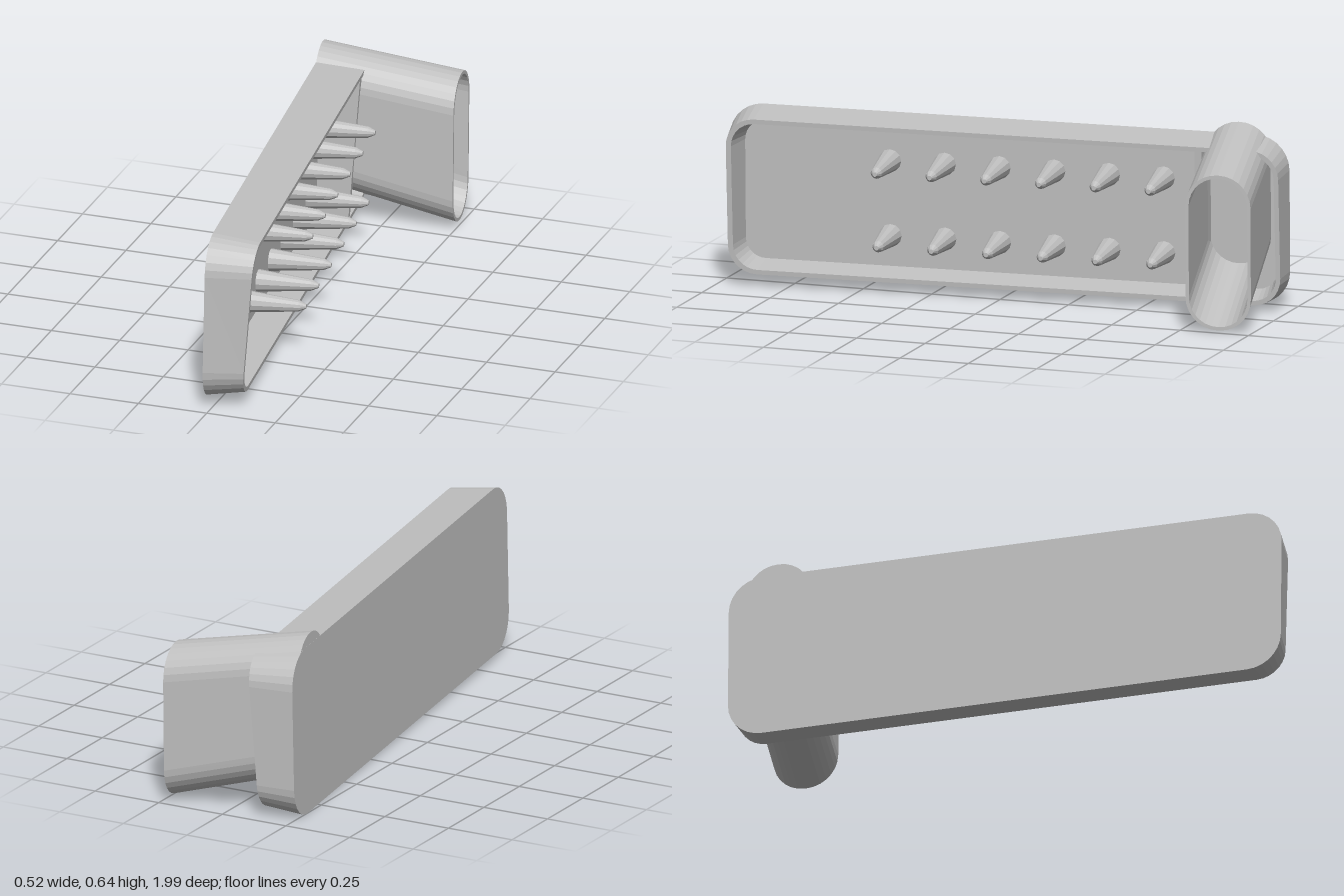
import * as THREE from 'three';

const grey = new THREE.MeshStandardMaterial({ color: 0xc0c0c0, flatShading: true });
grey.name = 'plain grey';

// Rounded rectangle outline, counter-clockwise, with z given by a rule of y
function outline(x0, x1, h, r, depth) {
  const pts = [], n = 7;
  const corners = [[x1 - r, -h + r], [x1 - r, h - r], [x0 + r, h - r], [x0 + r, -h + r]];
  corners.forEach(([cx, cy], k) => {
    for (let i = 0; i <= n; i++) {
      const a = (k - 1 + i / n) * Math.PI / 2;
      const y = cy + r * Math.sin(a);
      pts.push(new THREE.Vector3(cx + r * Math.cos(a), y, depth(y)));
    }
  });
  return pts;
}

// Skin a run of closed rings, with flat caps on the first and last
function loft(rings) {
  const centre = ring => {
    const c = ring.reduce((s, p) => s.add(p), new THREE.Vector3()).divideScalar(ring.length);
    return ring.map(() => c);
  };
  const all = [centre(rings[0]), ...rings, centre(rings[rings.length - 1])];
  const pos = [];
  const tri = (...t) => t.forEach(p => pos.push(p.x, p.y, p.z));
  for (let k = 0; k < all.length - 1; k++) {
    const a = all[k], b = all[k + 1];
    for (let i = 0; i < a.length; i++) {
      const j = (i + 1) % a.length;
      if (k > 0) tri(a[i], a[j], b[j]);
      if (k < all.length - 2) tri(a[i], b[j], b[i]);
      else continue;
    }
  }
  const g = new THREE.BufferGeometry();
  g.setAttribute('position', new THREE.Float32BufferAttribute(pos, 3));
  g.computeVertexNormals();
  return g;
}

export function createModel() {
  const model = new THREE.Group();
  model.name = 'peggedTrayWithSleeve';
  const add = (name, geo) => {
    const m = new THREE.Mesh(geo, grey);
    m.name = name;
    model.add(m);
  };

  // Tray frame: x runs to the back, y up, z out of the open side
  const frame = new THREE.Matrix4().makeBasis(
    new THREE.Vector3(-0.124, -0.013, -0.992),
    new THREE.Vector3(0.02, 1, 0),
    new THREE.Vector3(0.992, 0, -0.124)
  ).setPosition(-0.137, 0.312, 0.012);
  const rimDepth = y => 0.15 + 0.06 * y;

  // Tray: drafted outer wall, thin rim, inner wall and floor
  add('tray', loft([
    outline(-0.988, 0.985, 0.298, 0.12, () => 0),
    outline(-0.966, 0.982, 0.277, 0.1, rimDepth),
    outline(-0.948, 0.966, 0.261, 0.085, rimDepth),
    outline(-0.93, 0.945, 0.243, 0.07, () => 0.02)
  ]).applyMatrix4(frame));

  // Cross wall in front of the sleeve
  const wall = new THREE.BoxGeometry(0.025, 0.54, 0.14).translate(0.7, 0, 0.08);
  const p = wall.attributes.position;
  for (let i = 0; i < p.count; i++) {
    if (p.getZ(i) > 0.08) p.setZ(i, rimDepth(p.getY(i)) - 0.002);
  }
  add('crossWall', wall.applyMatrix4(frame));

  // Two rows of tapered pegs with chamfered tips
  for (const [y, length] of [[0.129, 0.235], [-0.135, 0.217]]) {
    const profile = [[0.04, 0], [0.02, length - 0.025], [0.008, length], [0, length]]
      .map(([r, h]) => new THREE.Vector2(r, h));
    for (let i = 0; i < 6; i++) {
      const peg = new THREE.LatheGeometry(profile, 12).rotateX(Math.PI / 2);
      add('peg', peg.translate(-0.42 + i * 0.193, y, 0.018).applyMatrix4(frame));
    }
  }

  // Flattened sleeve, closed at the tray and open at its outer end
  const ring = (hw, hh, centre, slant, lean) =>
    outline(-hw, hw, hh, hw * 0.98, () => 0).map(q => new THREE.Vector3(
      centre[0] - q.x * slant + q.y * lean, centre[1] + q.y, centre[2] - q.x));
  const far = [-0.235, 0.39, -0.79], open = [0.243, 0.283, -0.886];
  add('sleeve', loft([
    ring(0.112, 0.25, far, 0.125, 0.02),
    ring(0.115, 0.273, open, 0.11, 0.01),
    ring(0.103, 0.261, open, 0.11, 0.01),
    ring(0.1, 0.238, [-0.21, 0.384, -0.795], 0.125, 0.02)
  ]));

  return model;
}
